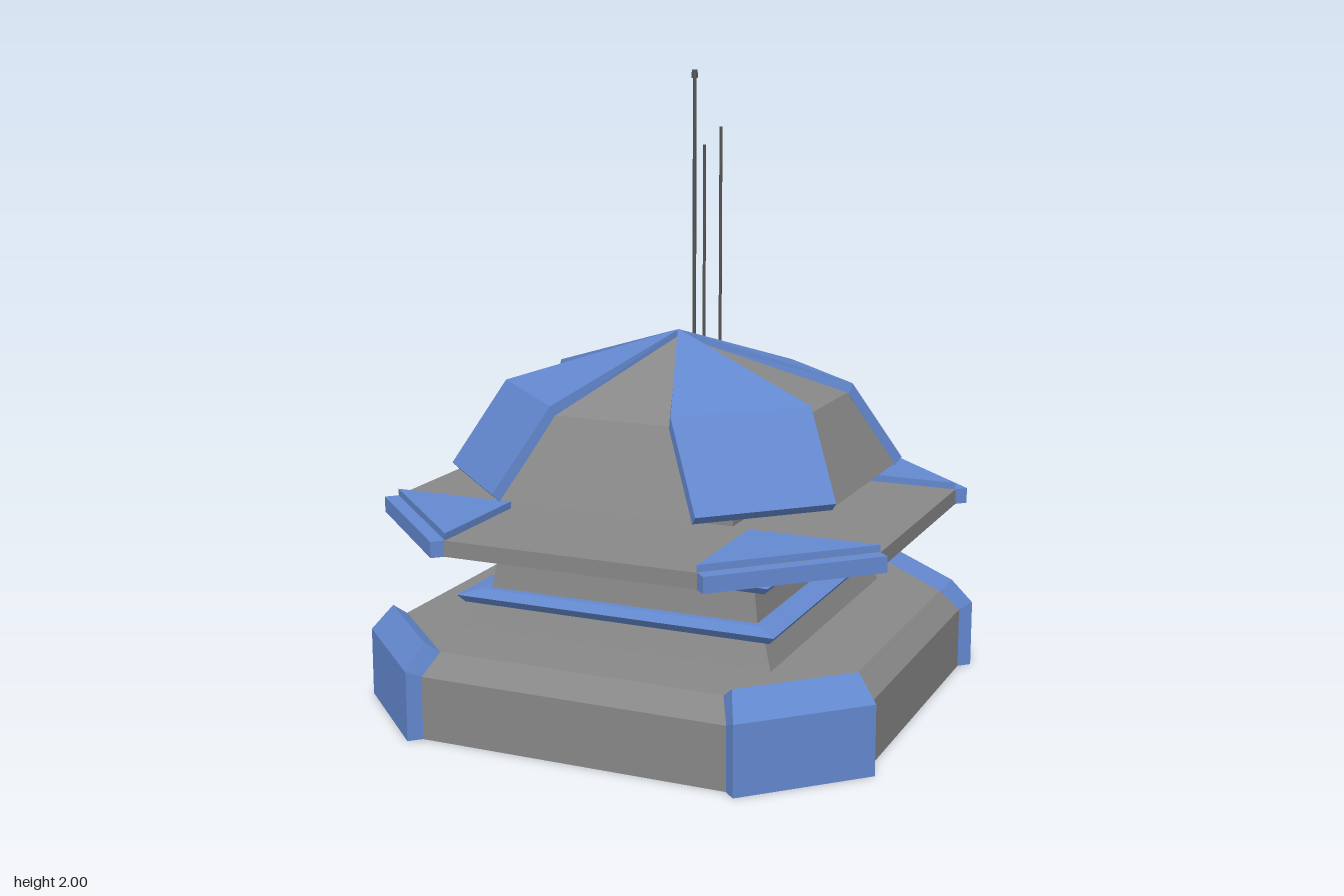
import * as THREE from 'three';

const grey = new THREE.MeshStandardMaterial({ color: 0x888888, flatShading: true });
const blue = new THREE.MeshStandardMaterial({ color: 0x6489d0, flatShading: true });
const dark = new THREE.MeshStandardMaterial({ color: 0x555555, flatShading: true });

// Solid through equal-sized rings of [x, y, z], capped at both ends, facing outward
function loft(rings) {
  const n = rings[0].length, tris = [];
  for (let k = 0; k < rings.length - 1; k++) {
    const a = rings[k], b = rings[k + 1];
    for (let i = 0; i < n; i++) {
      const j = (i + 1) % n;
      tris.push([a[i], b[i], b[j]], [a[i], b[j], a[j]]);
    }
  }
  const first = rings[0], last = rings[rings.length - 1];
  for (let i = 1; i < n - 1; i++) {
    tris.push([first[0], first[i], first[i + 1]], [last[0], last[i + 1], last[i]]);
  }
  // A negative enclosed volume means the corners run the wrong way
  let volume = 0;
  for (const t of tris) {
    const [a, b, c] = t.map((p) => new THREE.Vector3(...p));
    volume += a.dot(b.cross(c));
  }
  if (volume < 0) tris.forEach((t) => t.reverse());
  const geometry = new THREE.BufferGeometry();
  geometry.setAttribute('position', new THREE.Float32BufferAttribute(tris.flat(2), 3));
  geometry.computeVertexNormals();
  return geometry;
}

// Square of half-width a, and octagon with faces at a and half-sides b
const square = (a, y) => [[a, y, a], [-a, y, a], [-a, y, -a], [a, y, -a]];
const octagon = (a, b, y) =>
  [[a, b], [b, a], [-b, a], [-a, b], [-a, -b], [-b, -a], [b, -a], [a, -b]].map(([x, z]) => [x, y, z]);

export function createModel() {
  const model = new THREE.Group();
  const body = new THREE.Group();
  body.name = 'body';
  body.scale.z = 0.983;
  model.add(body);

  const add = (name, geometry, material, parent = body) => {
    const mesh = new THREE.Mesh(geometry, material);
    mesh.name = name;
    parent.add(mesh);
    return mesh;
  };

  // Octagonal base with a bevelled rim
  add('base', loft([octagon(0.82, 0.5, 0), octagon(0.82, 0.5, 0.2), octagon(0.76, 0.465, 0.267)]), grey);

  // Stepped square trunk with two trim bands
  add('lowerTrunk', loft([square(0.525, 0.26), square(0.485, 0.36)]), grey);
  add('middleTrunk', loft([square(0.455, 0.37), square(0.435, 0.5)]), grey);
  add('upperTrunk', loft([square(0.46, 0.52), square(0.41, 0.6)]), grey);
  add('lowerBand', loft([square(0.515, 0.35), square(0.535, 0.375), square(0.48, 0.387)]), blue);
  add('upperBand', loft([square(0.487, 0.492), square(0.505, 0.515), square(0.48, 0.53)]), blue);

  // Wide brim, neck and dome
  add('brim', loft([octagon(0.82, 0.41, 0.59), octagon(0.82, 0.41, 0.64)]), grey);
  add('neck', loft([square(0.32, 0.63), square(0.32, 0.74)]), grey);
  add('dome', loft([octagon(0.637, 0.32, 0.73), octagon(0.512, 0.197, 0.98), octagon(0.004, 0.002, 1.16)]), grey);

  // Corner armour, built along +x and turned to each diagonal
  const bracketProfile = [
    [0.93, 0.2, 0.226], [0.93, 0, 0.226], [0.983, 0, 0.226],
    [0.983, 0.22, 0.226], [0.916, 0.3, 0.202], [0.868, 0.265, 0.207],
  ];
  const bracket = loft([-1, 1].map((s) => bracketProfile.map(([r, y, l]) => [r, y, s * l])));
  const bar = loft([0.59, 0.64].map((y) => [[0.863, y, 0.29], [0.912, y, 0.29], [0.912, y, -0.29], [0.863, y, -0.29]]));
  const cap = loft([0.63, 0.662].map((y) => [[0.573, y, 0], [0.866, y, 0.29], [0.866, y, -0.29]]));
  // Panel sections: outer radius and height, inner radius and height, half-width
  const panel = loft([
    [0.004, 1.18, 0.002, 1.15, 0.004],
    [0.513, 1.01, 0.5, 0.975, 0.23],
    [0.7, 0.75, 0.675, 0.725, 0.227],
  ].map(([ro, yo, ri, yi, l]) => [[ro, yo, l], [ro, yo, -l], [ri, yi, -l], [ri, yi, l]]));

  for (let k = 0; k < 4; k++) {
    const corner = new THREE.Group();
    corner.name = 'cornerArmour';
    corner.rotation.y = Math.PI / 4 + (k * Math.PI) / 2;
    body.add(corner);
    add('baseBracket', bracket, blue, corner);
    add('brimBar', bar, blue, corner);
    add('brimCap', cap, blue, corner);
    add('domePanel', panel, blue, corner);
  }

  // Three thin antennas on the rear of the dome
  for (const [x, z, top, r] of [[-0.016, -0.167, 1.985, 0.006], [0.046, -0.24, 1.815, 0.005], [-0.016, -0.25, 1.755, 0.005]]) {
    const height = top - 1.05;
    const rod = add('antenna', new THREE.CylinderGeometry(r, r, height, 6), dark, model);
    rod.position.set(x, 1.05 + height / 2, z);
  }
  const tip = add('antennaTip', new THREE.CylinderGeometry(0.009, 0.011, 0.026, 6), dark, model);
  tip.position.set(-0.016, 1.987, -0.167);

  return model;
}
